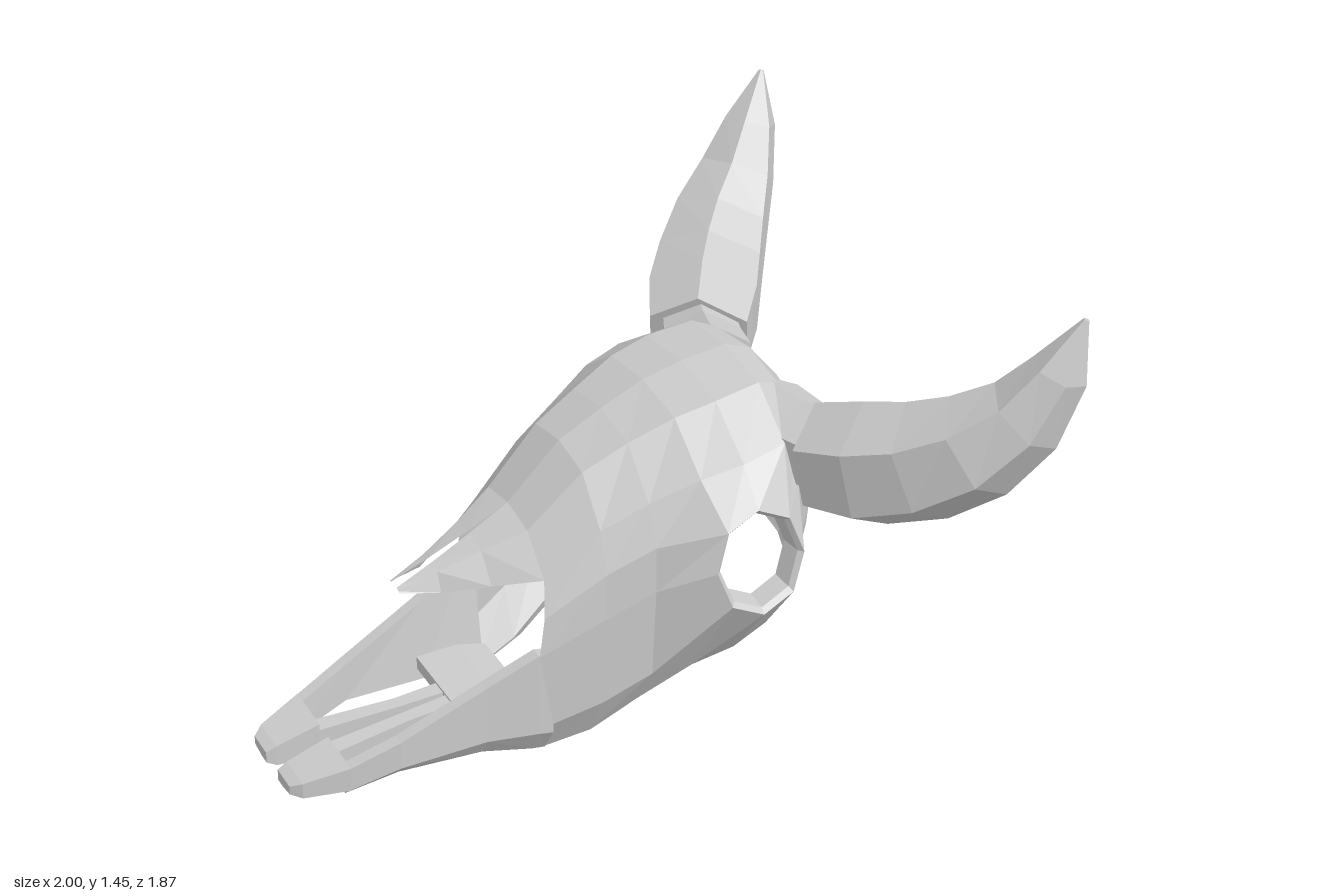
import * as THREE from 'three';

const bone = new THREE.MeshStandardMaterial({ color: 0xcccccc, flatShading: true, side: THREE.DoubleSide });
const lerp = THREE.MathUtils.lerp;
const SIDES = [['left', 1], ['right', -1]];

// Skins a grid of points; closed joins the last column to the first, skip leaves cells open.
function skin(name, rows, { closed = false, caps = false, flip = false, skip = () => false } = {}) {
  const pos = [];
  const tri = (a, b, c) => pos.push(...a, ...(flip ? c : b), ...(flip ? b : c));
  const n = rows[0].length;
  for (let i = 0; i < rows.length - 1; i++) {
    for (let j = 0; j < (closed ? n : n - 1); j++) {
      if (skip(i, j)) continue;
      const k = (j + 1) % n;
      tri(rows[i][j], rows[i + 1][j], rows[i][k]);
      tri(rows[i][k], rows[i + 1][j], rows[i + 1][k]);
    }
  }
  if (caps) {
    const last = rows[rows.length - 1];
    for (let j = 1; j < n - 1; j++) {
      tri(rows[0][0], rows[0][j], rows[0][j + 1]);
      tri(last[0], last[j + 1], last[j]);
    }
  }
  const geo = new THREE.BufferGeometry();
  geo.setAttribute('position', new THREE.Float32BufferAttribute(pos, 3));
  geo.computeVertexNormals();
  const mesh = new THREE.Mesh(geo, bone);
  mesh.name = name;
  return mesh;
}

// Faceted tapering tube along a curve.
function taper(name, points, radii, sides = 6) {
  const curve = new THREE.CatmullRomCurve3(points.map(p => new THREE.Vector3(...p)));
  const n = radii.length - 1;
  const f = curve.computeFrenetFrames(n);
  const rows = radii.map((r, i) => {
    const c = curve.getPointAt(i / n);
    return Array.from({ length: sides }, (_, j) => {
      const a = (j / sides) * Math.PI * 2;
      return c.clone().addScaledVector(f.normals[i], r * Math.cos(a))
        .addScaledVector(f.binormals[i], r * Math.sin(a)).toArray();
    });
  });
  return skin(name, rows, { closed: true, caps: true, flip: true });
}

// Bar with a bevelled lower edge; stations are [x, bottom, top, outer z, inner z].
function bar(name, stations, s, lip = 0) {
  const rows = stations.map(([x, b, t, o, i]) => [
    [x, t, s * o], [x, lerp(b, t, 0.25), s * o], [x, b, s * lerp(o, i, 0.6)],
    [x, b, s * i], [x, t, s * (lip ? o - lip : i)]]);
  return skin(name, rows, { closed: true, caps: true, flip: s < 0 });
}

// Skull sections from muzzle to occiput: [top x, top y, rim x, rim y, half width].
const STATIONS = [
  [-0.26, 0.71, -0.26, 0.02, 0.29], [-0.10, 0.87, -0.13, 0.06, 0.335],
  [0.03, 0.94, 0.00, 0.15, 0.38], [0.16, 1.00, 0.15, 0.25, 0.44],
  [0.28, 1.03, 0.27, 0.29, 0.47], [0.42, 1.05, 0.38, 0.33, 0.45],
  [0.50, 1.02, 0.44, 0.36, 0.41], [0.59, 0.91, 0.50, 0.39, 0.37],
  [0.64, 0.74, 0.54, 0.40, 0.35], [0.64, 0.61, 0.54, 0.40, 0.33],
  [0.55, 0.47, 0.53, 0.40, 0.29]];
// Section outline from the crest down the cheek, ending in an inturned lip.
const OUT = [0, 0.45, 0.82, 0.97, 1, 1, 0.78, 0.64];
const DOWN = [0, 0.03, 0.18, 0.32, 0.49, 0.83, 1, 0.95];

// The occiput is rounded by drawing its sides forward.
const section = ([xt, yt, xb, yb, w], s) => OUT.map((o, j) => [
  lerp(xt, xb, DOWN[j]) - Math.max(0, xt - 0.42) * 0.5 * o * o,
  lerp(yt, yb, DOWN[j]), s * w * o]);

// Eye socket ring, k counting eighths of a turn.
function eyePoint(k, scale, depth, s) {
  const a = (k * Math.PI) / 4;
  return [0.28 + 0.135 * scale * Math.cos(a), 0.64 + 0.155 * scale * Math.sin(a),
    s * (0.495 - 0.025 * Math.sin(a) - depth)];
}

function braincase(label, s) {
  const rows = STATIONS.map(st => section(st, s));
  // Slanted front edge of the nose opening
  rows[0][3][0] -= 0.02;
  rows[0][4][0] -= 0.04;
  // Pull the eight points around cell (4, 4) onto the socket octagon
  for (let di = -1; di <= 1; di++) {
    for (let dj = -1; dj <= 1; dj++) {
      if (di || dj) rows[4 + di][4 + dj] = eyePoint(Math.atan2(-dj, di) / (Math.PI / 4), 1, 0, s);
    }
  }
  const inEye = (i, j) => (i === 3 || i === 4) && (j === 3 || j === 4);
  const pastLip = (i, j) => i >= 5 && j === 6;
  return skin(label + 'SkullShell', rows, { skip: (i, j) => inEye(i, j) || pastLip(i, j), flip: s > 0 });
}

function eyeRim(label, s) {
  const ring = (scale, depth) => Array.from({ length: 8 }, (_, k) => eyePoint(k, scale, depth, s));
  return skin(label + 'EyeSocketRim', [ring(1, 0), ring(0.9, 0.015), ring(0.85, 0.08)],
    { closed: true, flip: s > 0 });
}

// Pointed nasal bone overhanging the nose opening.
function nasal(label, s) {
  const rows = [
    section(STATIONS[0], s).slice(0, 3),
    [[-0.38, 0.645, s * 0.006], [-0.38, 0.63, s * 0.085], [-0.38, 0.55, s * 0.15]],
    [[-0.5, 0.585, s * 0.012], [-0.5, 0.575, s * 0.05], [-0.5, 0.52, s * 0.075]],
    [[-0.61, 0.535, s * 0.018], [-0.61, 0.53, s * 0.03], [-0.61, 0.525, s * 0.035]]];
  return skin(label + 'NasalBone', rows, { flip: s < 0 });
}

export function createModel() {
  const model = new THREE.Group();
  model.name = 'hornedSkull';
  const skull = new THREE.Group();
  skull.name = 'skull';
  skull.position.z = -0.05;
  model.add(skull);

  for (const [label, s] of SIDES) {
    skull.add(braincase(label, s), eyeRim(label, s), nasal(label, s));

    // Upper jaw: thin outer bar, inner bar and the tip that joins them
    skull.add(
      bar(label + 'JawBar', [
        [-0.26, 0.02, 0.37, 0.289, 0.19], [-0.3, 0.025, 0.375, 0.286, 0.19],
        [-0.45, 0.055, 0.295, 0.26, 0.19], [-0.7, 0.055, 0.17, 0.23, 0.185],
        [-0.85, 0.01, 0.105, 0.2, 0.155]], s, 0.04),
      bar(label + 'InnerJawBar', [
        [-0.4, 0.07, 0.13, 0.06, 0.003], [-0.6, 0.055, 0.11, 0.06, 0.015],
        [-0.85, 0.02, 0.09, 0.09, 0.033]], s),
      bar(label + 'JawTip', [
        [-0.84, 0.01, 0.11, 0.203, 0.033], [-0.97, 0.005, 0.07, 0.16, 0.04],
        [-1.0, 0.02, 0.055, 0.135, 0.045]], s));

    // Horn and its bony core; the right horn is set a little further out
    const z = v => (s > 0 ? v : -(v * 0.82 + 0.15));
    model.add(
      taper(label + 'HornCore', [[0.47, 0.87, z(0.1)], [0.5, 0.865, z(0.22)], [0.55, 0.87, z(0.38)]],
        [0.14, 0.13, 0.12]),
      taper(label + 'Horn', [
        [0.535, 0.855, z(0.335)], [0.64, 0.91, z(0.53)], [0.76, 1.02, z(0.71)],
        [0.885, 1.19, z(0.83)], [0.975, 1.45, z(0.89)]],
      [0.165, 0.185, 0.175, 0.155, 0.12, 0.08, 0.008]));
  }

  // Palate bridge between the jaw bars
  const palate = [[-0.47, 0.09, 0.13, 0.2], [-0.34, 0.05, 0.13, 0.21], [-0.25, 0.05, 0.11, 0.2]]
    .map(([x, b, t, w]) => [[x, t, w], [x, b, w], [x, b, -w], [x, t, -w]]);
  skull.add(skin('palate', palate, { closed: true, caps: true, flip: true }));

  return model;
}
